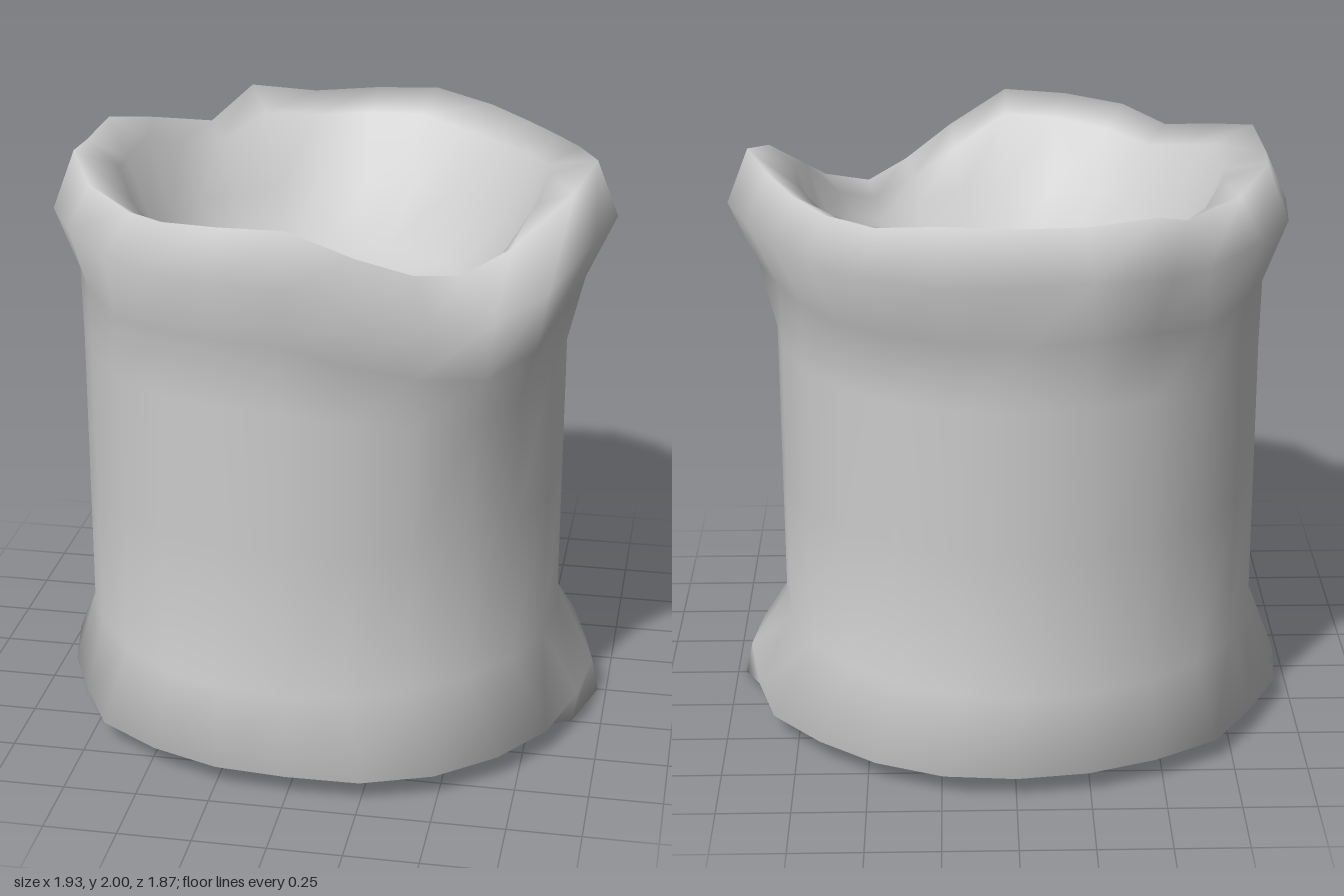
import * as THREE from 'three';

const SEG = 24;
// Rim height every 15 degrees, starting at +x and turning towards +z
const RIM = [1.99, 1.94, 1.79, 1.73, 1.77, 1.86, 1.97, 1.96, 1.94, 1.91, 1.95, 2.0,
  1.97, 1.99, 1.94, 1.9, 1.98, 1.96, 1.97, 1.98, 1.95, 1.94, 1.95, 1.97];
// Small uneven widening of the rolled rim
const BULGE = [0.03, 0.01, 0, 0, 0, 0, 0, 0, 0.01, -0.02, 0, 0.02,
  0.01, 0.02, 0, -0.04, 0.04, -0.02, 0, 0.03, 0.03, 0, -0.03, -0.02];
// Small uneven widening of the sagging base
const SAG = [0.01, 0.01, 0.01, 0.02, 0.03, 0.02, -0.01, 0, 0.01, 0.03, -0.01, 0,
  0.02, 0.03, 0.01, 0.03, 0, -0.01, -0.01, 0, 0, 0, 0.02, -0.01];

// Cross-section of the cloth at one angle: [radius, height, x shift]
function sackProfile(i) {
  const h = RIM[i];
  const dip = Math.max(0, 1.95 - h); // where the rim is pulled down and inwards
  const foot = i < 2 ? 1 - i * 0.2 : 0; // slouched fold touching the ground
  const slouch = i < 4 ? 0.05 : 0;
  const inset = dip * 0.7;
  return [
    [0.77 + 0.2 * foot, 0, 0],
    [0.945 + SAG[i] - 0.01 * foot, 0.08 + 0.04 * foot, 0],
    [0.84, 0.33, -0.03],
    [0.84, 0.85, -0.03],
    [0.84, 1.35 - dip * 0.4, -0.03],
    [0.845 + slouch, 1.58 - dip * 0.7, -0.03],
    [0.935 + BULGE[i] - dip * 0.2, 1.8 - dip * 0.8, 0],
    [0.86 + BULGE[i] - inset, h, 0],
    [0.73 - inset * 0.35, h - 0.06, 0],
    [0.635, Math.min(1.66, h - 0.14), 0],
    [0.45, 1.49, 0],
    [0.22, 1.42, 0],
  ];
}

// Closed rings joined into one smooth skin, with a centre point at each end
function sackGeometry() {
  const profiles = RIM.map((_, i) => sackProfile(i));
  const rings = profiles[0].length;
  const pos = [], index = [];
  for (let r = 0; r < rings; r++) {
    for (let i = 0; i < SEG; i++) {
      const a = (i / SEG) * Math.PI * 2;
      const [rad, y, dx] = profiles[i][r];
      pos.push(Math.cos(a) * rad + dx, y, Math.sin(a) * rad);
    }
  }
  const inside = rings * SEG, underside = inside + 1;
  pos.push(0, 1.4, 0, 0, 0, 0);
  for (let i = 0; i < SEG; i++) {
    const n = (i + 1) % SEG;
    for (let r = 0; r < rings - 1; r++) {
      const a = r * SEG + i, b = r * SEG + n;
      index.push(a, a + SEG, b, b, a + SEG, b + SEG);
    }
    const last = (rings - 1) * SEG;
    index.push(last + i, inside, last + n);
    index.push(underside, i, n);
  }
  const g = new THREE.BufferGeometry();
  g.setAttribute('position', new THREE.Float32BufferAttribute(pos, 3));
  g.setIndex(index);
  g.computeVertexNormals();
  return g;
}

export function createModel() {
  const group = new THREE.Group();
  group.name = 'openSack';
  const cloth = new THREE.MeshStandardMaterial({ color: 0xcccccc });
  const sack = new THREE.Mesh(sackGeometry(), cloth);
  sack.name = 'sackCloth';
  group.add(sack);
  return group;
}
